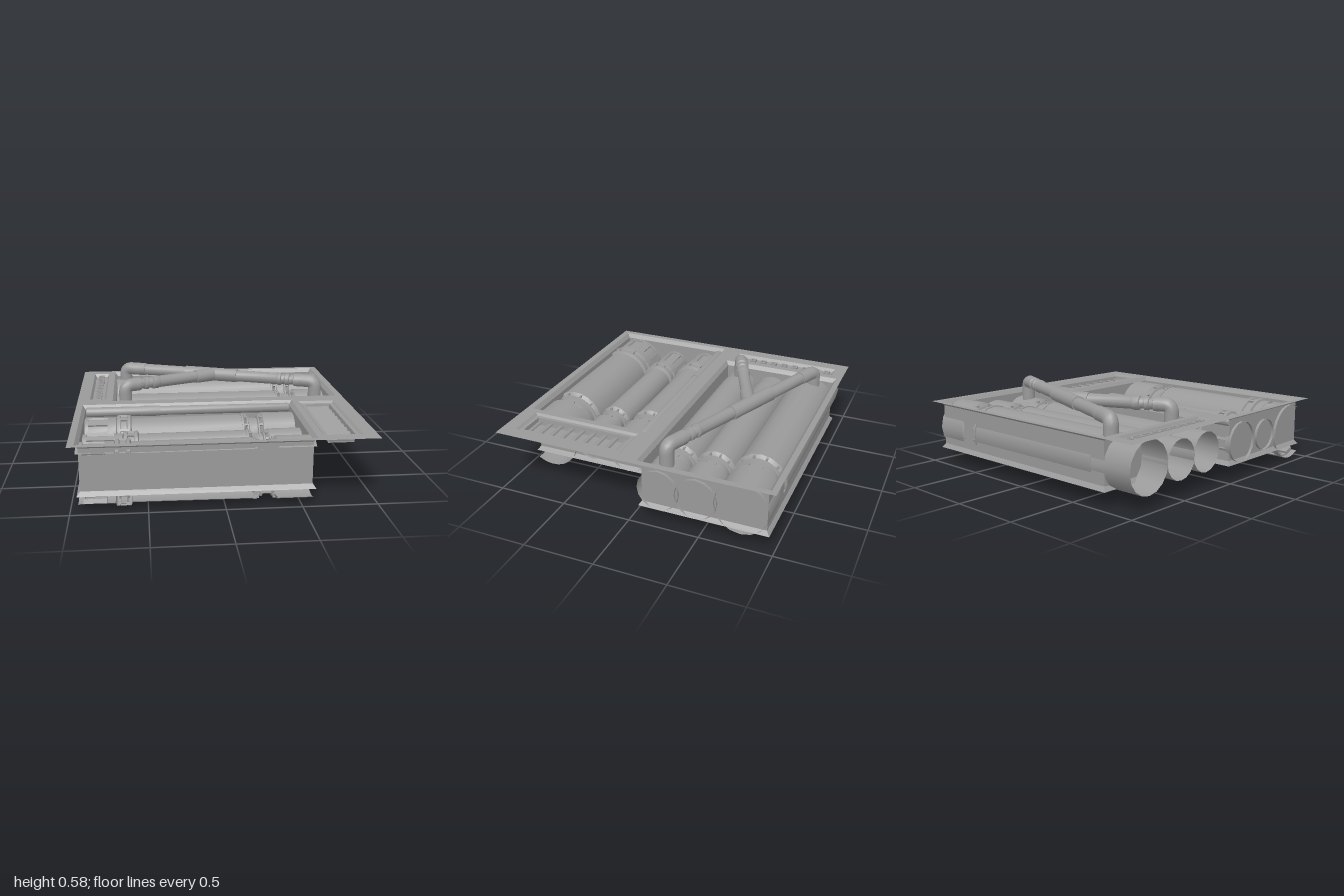
import * as THREE from 'three';
import { toCreasedNormals } from 'three/addons/utils/BufferGeometryUtils.js';

const grey = new THREE.MeshStandardMaterial({ color: 0x9a9a9a, side: THREE.DoubleSide });
const TOP = 0.47, FLOOR = 0.12;

function add(parent, geometry, name) {
  const mesh = new THREE.Mesh(geometry, grey);
  mesh.name = name;
  parent.add(mesh);
  return mesh;
}

function box(parent, name, sx, sy, sz, x, y, z) {
  const mesh = add(parent, new THREE.BoxGeometry(sx, sy, sz), name);
  mesh.position.set(x, y, z);
  return mesh;
}

// Solid of revolution along x from [x, radius] pairs, left open for the angle cut either side of +z
function turned(profile, sides = 16, cut = 0) {
  const pts = profile.map(([x, r]) => new THREE.Vector2(r, x));
  const geo = new THREE.LatheGeometry(pts, sides, cut, Math.PI * 2 - cut * 2);
  geo.rotateZ(-Math.PI / 2);
  return toCreasedNormals(geo, 0.6);
}

// Rectangular shell through levels of [y, inset], closed at the last level
function shell([x0, x1, z0, z1], levels) {
  const pos = [], idx = [];
  for (const [y, i] of levels)
    pos.push(x0 + i, y, z0 + i, x1 - i, y, z0 + i, x1 - i, y, z1 - i, x0 + i, y, z1 - i);
  const e = (levels.length - 1) * 4;
  for (let l = 0; l < e; l += 4)
    for (let k = 0; k < 4; k++) {
      const a = l + k, b = l + (k + 1) % 4;
      idx.push(a, b, a + 4, b, b + 4, a + 4);
    }
  idx.push(e, e + 2, e + 1, e, e + 3, e + 2);
  const geo = new THREE.BufferGeometry();
  geo.setAttribute('position', new THREE.Float32BufferAttribute(pos, 3));
  geo.setIndex(idx);
  return toCreasedNormals(geo, 0.2);
}

// Small blocks arranged around a cylinder's axis, skipping the cut part
function blocksAround(parent, name, n, x0, x1, r, thick, width, cut) {
  for (let k = 0; k < n; k++) {
    const a = (k + 0.5) / n * Math.PI * 2;
    if (Math.abs(a - Math.PI / 2) < cut) continue;
    box(parent, name, x1 - x0, thick, width, (x0 + x1) / 2, Math.cos(a) * r, Math.sin(a) * r).rotation.x = a;
  }
}

// Open-ended tank with a necked band, and optionally a windowed sleeve and collar
function tank(parent, name, { y, z, r, x0, x1, band, sleeve, cut = 0 }) {
  const g = new THREE.Group();
  g.name = name;
  g.position.set(0, y, z);
  parent.add(g);
  const p = [];
  if (sleeve) {
    const s = sleeve, c = s + 0.11;
    p.push([x0, r], [x0 + 0.045, r], [x0 + 0.045, r - 0.012], [s - 0.06, r - 0.012], [s - 0.06, r], [s, r],
      [s, r - 0.01], [s + 0.008, r + 0.016], [s + 0.03, r + 0.016], [s + 0.035, r + 0.002],
      [c - 0.035, r + 0.002], [c - 0.03, r + 0.016], [c - 0.008, r + 0.016], [c, r - 0.004]);
    blocksAround(g, 'sleeveBar', 8, x0 + 0.04, s - 0.055, r - 0.019, 0.03, r * 0.36, cut);
    blocksAround(g, 'collarBar', 10, s + 0.02, c - 0.02, r + 0.004, 0.02, 0.018, cut);
  } else {
    p.push([x0, r - 0.003], [-0.605, r - 0.003], [-0.605, r]);
  }
  const [a, b] = band;
  p.push([a, r], [a, r + 0.006], [a + 0.014, r + 0.006], [a + 0.035, r - 0.022], [a + 0.04, r - 0.012],
    [a + 0.05, r - 0.012], [a + 0.055, r - 0.028], [b - 0.055, r - 0.028], [b - 0.05, r - 0.012],
    [b - 0.04, r - 0.012], [b - 0.035, r - 0.022], [b - 0.014, r + 0.006], [b, r + 0.006], [x1, r + 0.006]);
  for (const x of [a + 0.01, b - 0.04])
    blocksAround(g, 'bandTooth', 12, x, x + 0.03, r - 0.012, 0.024, 0.014, cut);
  add(g, turned(p, 16, cut), 'tankBody');
}

// Straight pipe between two [x, z] points at height y; profile is [distance, radius]
function pipe(parent, name, [ax, az], [bx, bz], y, profile) {
  const mesh = add(parent, turned(profile, 14), name);
  mesh.position.set(ax, y, az);
  mesh.rotation.y = Math.atan2(az - bz, bx - ax);
}

// Elbow turning from vertical to the direction of the next point
function elbow(parent, [x, z], [tx, tz], y, r) {
  const d = new THREE.Vector3(tx - x, 0, tz - z).normalize();
  const corner = new THREE.Vector3(x, y, z);
  const low = new THREE.Vector3(x, y - 0.05, z);
  const out = corner.clone().addScaledVector(d, 0.05);
  const path = new THREE.CurvePath();
  path.add(new THREE.LineCurve3(new THREE.Vector3(x, 0.38, z), low));
  path.add(new THREE.QuadraticBezierCurve3(low, corner, out));
  path.add(new THREE.LineCurve3(out, corner.clone().addScaledVector(d, 0.1)));
  add(parent, new THREE.TubeGeometry(path, 16, r, 14), 'pipeElbow');
}

// Ribbed joint profile starting at distance t
const ribs = (t, r) => [[t, r], [t + 0.02, r], [t + 0.025, r - 0.01], [t + 0.05, r - 0.012], [t + 0.055, r - 0.003],
  [t + 0.085, r - 0.003], [t + 0.09, r - 0.012], [t + 0.12, r - 0.01], [t + 0.125, r], [t + 0.17, r]];

export function createModel() {
  const model = new THREE.Group();
  model.name = 'floorPanel';
  const pits = [[-0.955, 0.595, 0.045, 0.955], [-0.74, 0.955, -0.96, -0.05]];
  const vents = [[0.64, 0.905, 0.09, 0.9], [-0.91, -0.79, -0.91, -0.1]];

  // Top sheet with openings
  const rect = (C, [x0, x1, z0, z1]) => new C([[x0, -z0], [x1, -z0], [x1, -z1], [x0, -z1]]
    .map(([x, y]) => new THREE.Vector2(x, y)));
  const sheet = rect(THREE.Shape, [-1, 1, -1, 1]);
  sheet.holes = [...pits, ...vents].map(b => rect(THREE.Path, b));
  const top = add(model, new THREE.ShapeGeometry(sheet).rotateX(-Math.PI / 2), 'topSheet');
  top.position.y = TOP;

  // Pits with flared rims top and bottom
  for (const b of pits)
    add(model, shell(b, [[TOP, 0], [TOP - 0.03, 0.022], [FLOOR + 0.03, 0.022], [FLOOR, 0]]), 'pit');

  // Wide vent with slats
  add(model, shell(vents[0], [[TOP, 0], [0.455, 0.015], [0.455, 0.04], [0.4, 0.045]]), 'ventTray');
  for (let i = 0; i < 9; i++)
    box(model, 'ventSlat', 0.17, 0.012, 0.045, 0.773, 0.425, 0.15 + i * 0.0865).rotation.x = 0.35;

  // Narrow vent with square sockets
  add(model, shell(vents[1], [[TOP, 0], [0.445, 0.015]]), 'socketTray');
  for (let i = 0; i < 9; i++) {
    const z = -0.855 + i * 0.0875;
    for (const s of [-1, 1]) {
      box(model, 'socketSide', 0.012, 0.02, 0.045, -0.85 + s * 0.018, 0.452, z);
      box(model, 'socketEnd', 0.045, 0.02, 0.012, -0.85, 0.452, z + s * 0.018);
    }
  }

  // Front tanks, the outer one open towards the front wall
  const front = { x0: -0.953, x1: 0.592, band: [0.19, 0.36] };
  tank(model, 'frontTankInner', { ...front, y: 0.265, z: 0.2, r: 0.145, sleeve: -0.71 });
  tank(model, 'frontTankMiddle', { ...front, y: 0.27, z: 0.49, r: 0.112, sleeve: -0.66 });
  tank(model, 'frontTankOuter', { ...front, y: 0.235, z: 0.828, r: 0.203, sleeve: -0.71, cut: 0.98 });

  // Back tanks
  const back = { x0: -0.935, x1: 0.952, band: [0.55, 0.72] };
  tank(model, 'backTankOuter', { ...back, y: 0.275, z: -0.767, r: 0.182 });
  tank(model, 'backTankMiddle', { ...back, y: 0.265, z: -0.455, r: 0.142 });
  tank(model, 'backTankInner', { ...back, y: 0.265, z: -0.19, r: 0.142 });

  // Slim pipe along the front pit's inner edge
  pipe(model, 'edgePipe', [-0.93, 0.085], [0.57, 0.085], 0.425, [[0, 0.03], [0.01, 0.035], [0.4, 0.035],
    [0.4, 0.038], [0.54, 0.038], [0.54, 0.033], [1.49, 0.033], [1.498, 0.028]]);

  // Forked pipe above the back pit
  const A = [-0.645, -0.8], B = [0.825, -0.205], C = [-0.645, -0.205], J = [0.07, -0.51], y = 0.545;
  pipe(model, 'mainPipe', A, B, y, [[0.08, 0.05], [0.18, 0.05], [0.18, 0.045], [0.53, 0.045], [0.53, 0.052],
    [0.96, 0.052], [0.96, 0.045], [1.29, 0.045], ...ribs(1.3, 0.05), [1.5, 0.05]]);
  pipe(model, 'branchPipe', C, J, y, [[0.08, 0.05], ...ribs(0.1, 0.05), [0.28, 0.045], [0.6, 0.045],
    [0.6, 0.051], [0.78, 0.051]]);
  elbow(model, A, B, y, 0.05);
  elbow(model, B, A, y, 0.05);
  elbow(model, C, J, y, 0.05);
  return model;
}
